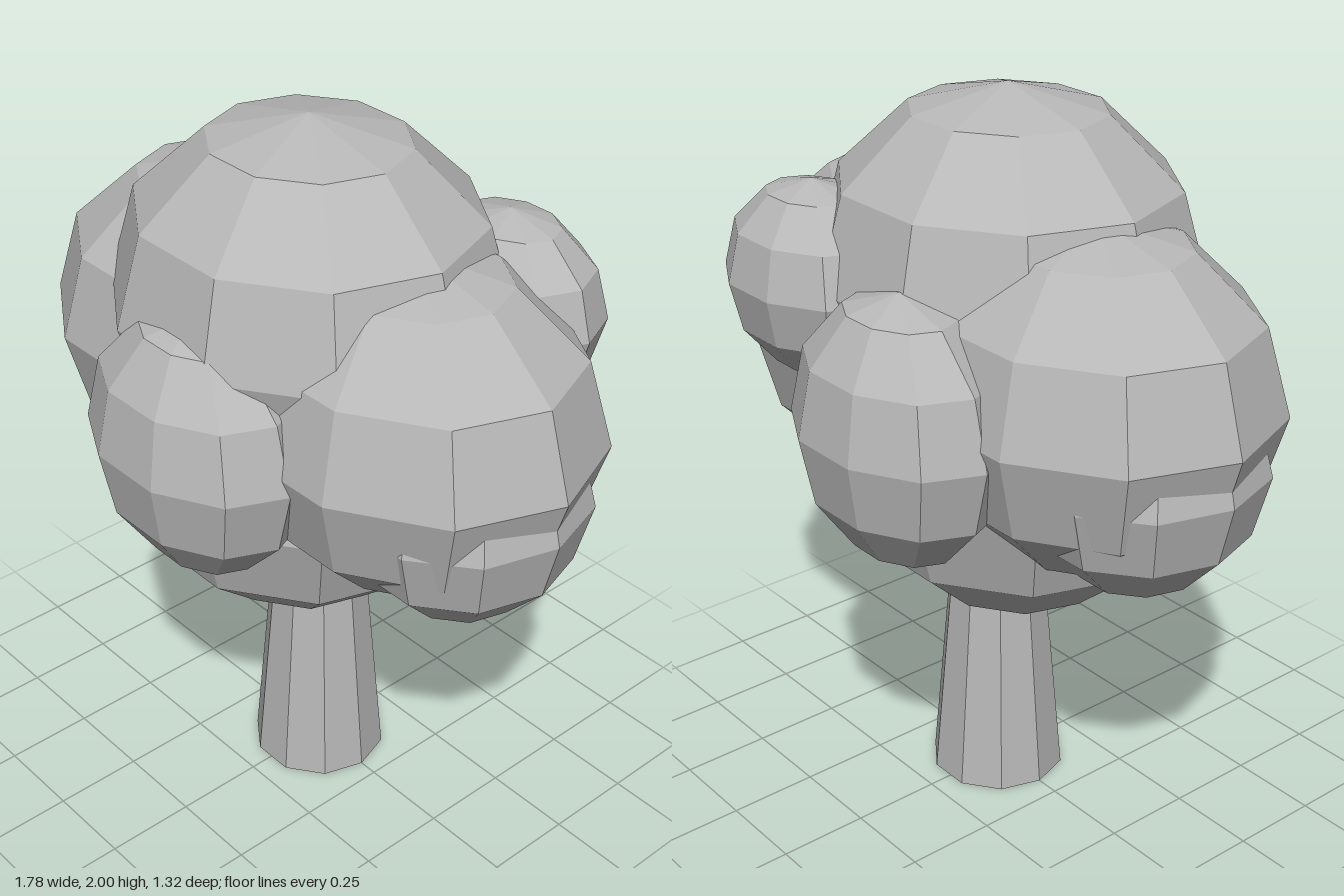
import * as THREE from 'three';

export function createModel() {
  const tree = new THREE.Group();
  tree.name = 'tree';
  const grey = new THREE.MeshStandardMaterial({ color: 0xb8b8b8, flatShading: true });
  grey.name = 'plain grey';

  // tapered ten-sided trunk, running up into the foliage
  const height = 0.8;
  const trunkShape = new THREE.CylinderGeometry(0.12, 0.19, height, 10);
  trunkShape.rotateY(Math.PI / 10);
  const trunk = new THREE.Mesh(trunkShape, grey);
  trunk.name = 'trunk';
  trunk.position.set(0.007, height / 2, 0);
  tree.add(trunk);

  // low-poly foliage clumps: name, centre, radii
  const clumps = [
    ['crownFoliage', [0.008, 1.505, 0.035], [0.545, 0.495, 0.505]],
    ['lowerFoliage', [-0.05, 1.02, 0.02], [0.52, 0.44, 0.49]],
    ['rightFoliage', [-0.368, 1.29, 0], [0.52, 0.46, 0.457]],
    ['leftFoliage', [0.343, 1.29, 0], [0.545, 0.46, 0.457]],
    ['lowerRightFoliage', [-0.562, 1.16, 0], [0.31, 0.33, 0.33]],
    ['lowerLeftFoliage', [0.562, 1.16, 0], [0.31, 0.33, 0.33]],
    ['frontFoliage', [0.04, 1.245, 0.422], [0.345, 0.36, 0.25]],
    ['backRightFoliage', [-0.14, 1.235, -0.427], [0.335, 0.36, 0.25]],
    ['backLeftFoliage', [0.335, 1.48, -0.345], [0.288, 0.265, 0.222]],
  ];
  const ball = new THREE.SphereGeometry(1, 10, 6);
  for (const [name, centre, radii] of clumps) {
    const clump = new THREE.Mesh(ball, grey);
    clump.name = name;
    clump.position.set(...centre);
    clump.scale.set(...radii);
    tree.add(clump);
  }
  return tree;
}
